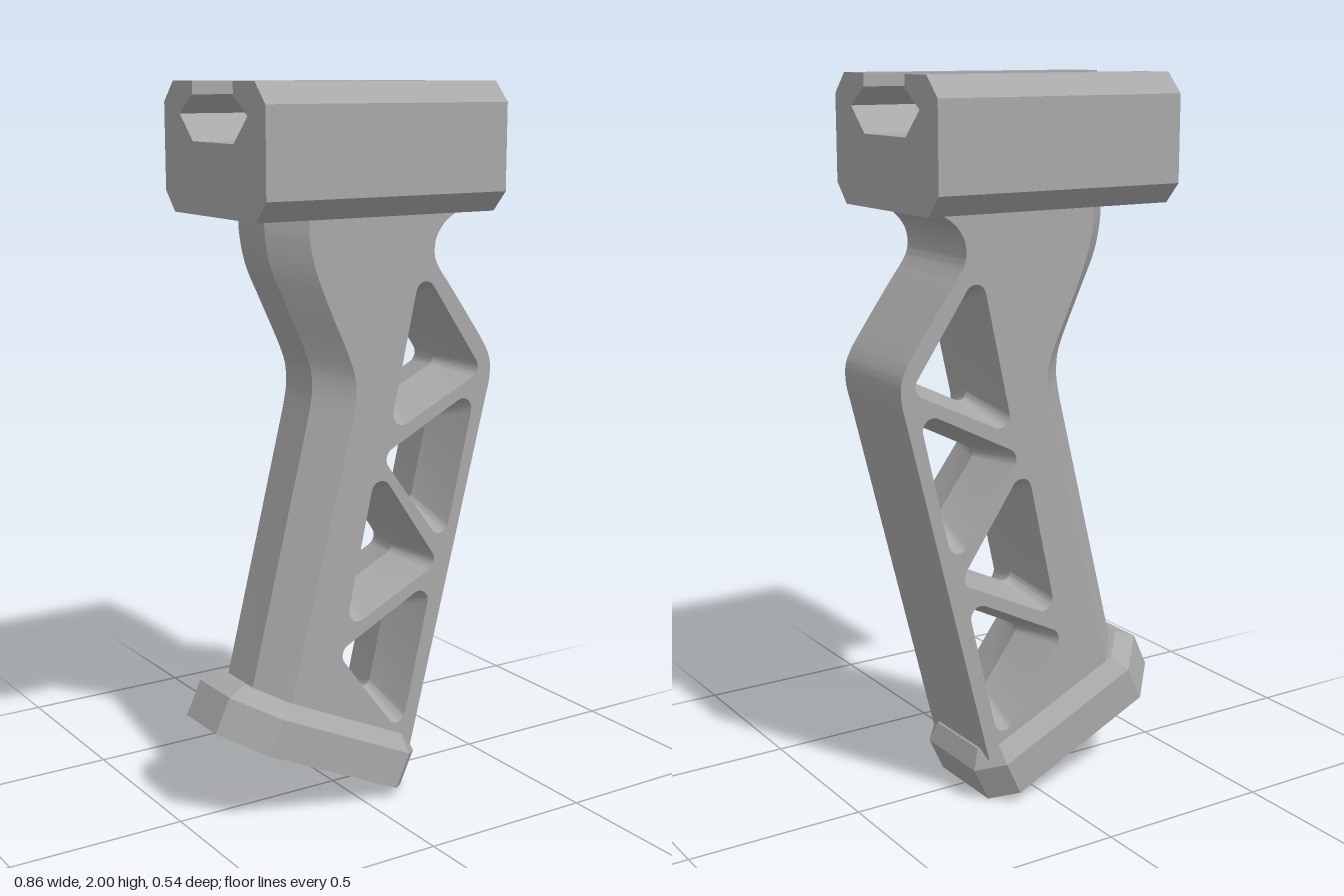
import * as THREE from 'three';
import { mergeGeometries, toCreasedNormals } from 'three/addons/utils/BufferGeometryUtils.js';
import { ConvexGeometry } from 'three/addons/geometries/ConvexGeometry.js';

const W = 0.153; // half thickness of the grip
const F = 0.068; // half width of its narrow front face

const v2 = (x, y) => new THREE.Vector2(x, y);
const atZ = (pts, z) => pts.map(p => new THREE.Vector3(p.x, p.y, z));

// Smooth curve through the bends, then a straight run to the end point
function edge(bends, end) {
  const curve = new THREE.CatmullRomCurve3(bends.map(([x, y]) => new THREE.Vector3(x, y, 0)));
  return [...curve.getPoints((bends.length - 1) * 5), new THREE.Vector3(end[0], end[1], 0)];
}

// Skin across rows holding equal numbers of points
function strip(rows) {
  const n = rows[0].length, index = [];
  for (let i = 0; i < rows.length - 1; i++) {
    for (let j = 0; j < n - 1; j++) {
      const a = i * n + j, b = a + n;
      index.push(a, b, a + 1, b, b + 1, a + 1);
    }
  }
  const g = new THREE.BufferGeometry().setFromPoints(rows.flat());
  g.setIndex(index);
  return g;
}

// Counter-clockwise polygon with rounded corners
function rounded(corners, r) {
  const out = [], n = corners.length, steps = 8;
  corners.forEach((p, i) => {
    const a = corners[(i + n - 1) % n].clone().sub(p).normalize();
    const b = corners[(i + 1) % n].clone().sub(p).normalize();
    const half = Math.acos(a.dot(b)) / 2;
    const c = a.clone().add(b).normalize().multiplyScalar(r / Math.sin(half)).add(p);
    const start = p.clone().addScaledVector(a, r / Math.tan(half)).sub(c);
    for (let k = 0; k <= steps; k++) {
      out.push(start.clone().rotateAround(v2(0, 0), (Math.PI - 2 * half) * k / steps).add(c));
    }
  });
  return out;
}

function incentre([a, b, c]) {
  const la = b.distanceTo(c), lb = c.distanceTo(a), lc = a.distanceTo(b);
  return v2(0, 0).addScaledVector(a, la).addScaledVector(b, lb).addScaledVector(c, lc)
    .divideScalar(la + lb + lc);
}

function gripGeometry() {
  const back = edge([[0.33, 1.66], [0.29, 1.643], [0.26, 1.62], [0.235, 1.58], [0.233, 1.53], [0.255, 1.49],
    [0.275, 1.464], [0.39, 1.304], [0.412, 1.27], [0.428, 1.23], [0.428, 1.18], [0.415, 1.125]], [0.166, 0.13]);
  const inner = edge([[-0.17, 1.66], [-0.168, 1.6], [-0.15, 1.52], [-0.105, 1.41], [-0.045, 1.28],
    [-0.025, 1.22], [-0.023, 1.17], [-0.034, 1.1]], [-0.236, 0.32]);
  const outer = edge([[-0.255, 1.66], [-0.253, 1.605], [-0.235, 1.52], [-0.19, 1.42], [-0.13, 1.29],
    [-0.113, 1.24], [-0.11, 1.18], [-0.12, 1.12]], [-0.312, 0.345]);

  // Two triangles, repeated lower down the handle
  const triangles = [];
  for (const [dx, dy] of [[0, 0], [-0.143, -0.54]]) {
    triangles.push([v2(0.188 + dx, 1.514 + dy), v2(0.085 + dx, 1.051 + dy), v2(0.402 + dx, 1.203 + dy)]);
    triangles.push([v2(0.381 + dx, 1.157 + dy), v2(0.061 + dx, 0.996 + dy), v2(0.276 + dx, 0.707 + dy)]);
  }

  const side = new THREE.Shape([...inner, ...back.slice().reverse()].map(p => v2(p.x, p.y)));
  const parts = [
    strip([atZ(back, -W), atZ(back, W)]),
    strip([atZ(inner, W), atZ(outer, F), atZ(outer, -F), atZ(inner, -W)]),
  ];

  // Openings narrow from both sides to the middle
  for (const t of triangles) {
    const ring = rounded(t, 0.032), c = incentre(t);
    side.holes.push(new THREE.Path(ring));
    const loop = [...ring, ring[0]];
    const waist = loop.map(p => p.clone().sub(c).multiplyScalar(0.69).add(c));
    parts.push(strip([atZ(loop, -W), atZ(waist, 0), atZ(loop, W)]));
  }

  // Flat side faces
  for (const s of [1, -1]) {
    const g = new THREE.ShapeGeometry(side);
    g.deleteAttribute('normal');
    g.deleteAttribute('uv');
    g.translate(0, 0, s * W);
    if (s < 0) g.index.array.reverse();
    parts.push(g);
  }
  return toCreasedNormals(mergeGeometries(parts), 0.4);
}

// Clamp with a dovetail channel along its top
function railGeometry() {
  const half = [[0.217, 1.655], [0.268, 1.71], [0.268, 1.945], [0.215, 2], [0.108, 2],
    [0.108, 1.965], [0.18, 1.915], [0.108, 1.845]];
  const pts = [...half, ...half.slice().reverse().map(([z, y]) => [-z, y])];
  const shape = new THREE.Shape(pts.map(([z, y]) => v2(z, y)));
  const g = new THREE.ExtrudeGeometry(shape, { depth: 0.745, bevelEnabled: false });
  return g.rotateY(Math.PI / 2).translate(-0.365, 0, 0);
}

// Foot with clipped corners and a bevelled upper rim
function footGeometry() {
  const pts = [];
  for (const [y, d] of [[0, 0], [0.105, 0], [0.147, 0.042]]) {
    const k = d * 0.414;
    for (const s of [1, -1]) {
      for (const [x, z] of [[d, 0.083 - k], [0.114 + k, 0.195 - d], [0.573 - k, 0.195 - d], [0.643 - d, 0.125 - k]]) {
        pts.push(new THREE.Vector3(x, y, s * z));
      }
    }
  }
  return new ConvexGeometry(pts);
}

export function createModel() {
  const model = new THREE.Group();
  model.name = 'angledForegrip';
  const grey = new THREE.MeshStandardMaterial({ color: 0xa8a8a8 });
  grey.name = 'grey';
  const add = (name, geometry) => {
    const mesh = new THREE.Mesh(geometry, grey);
    mesh.name = name;
    model.add(mesh);
    return mesh;
  };
  add('railClamp', railGeometry());
  add('trussHandle', gripGeometry());
  const foot = add('footPlate', footGeometry());
  foot.position.set(-0.43, 0.271, 0);
  foot.rotation.z = -0.434;
  return model;
}
